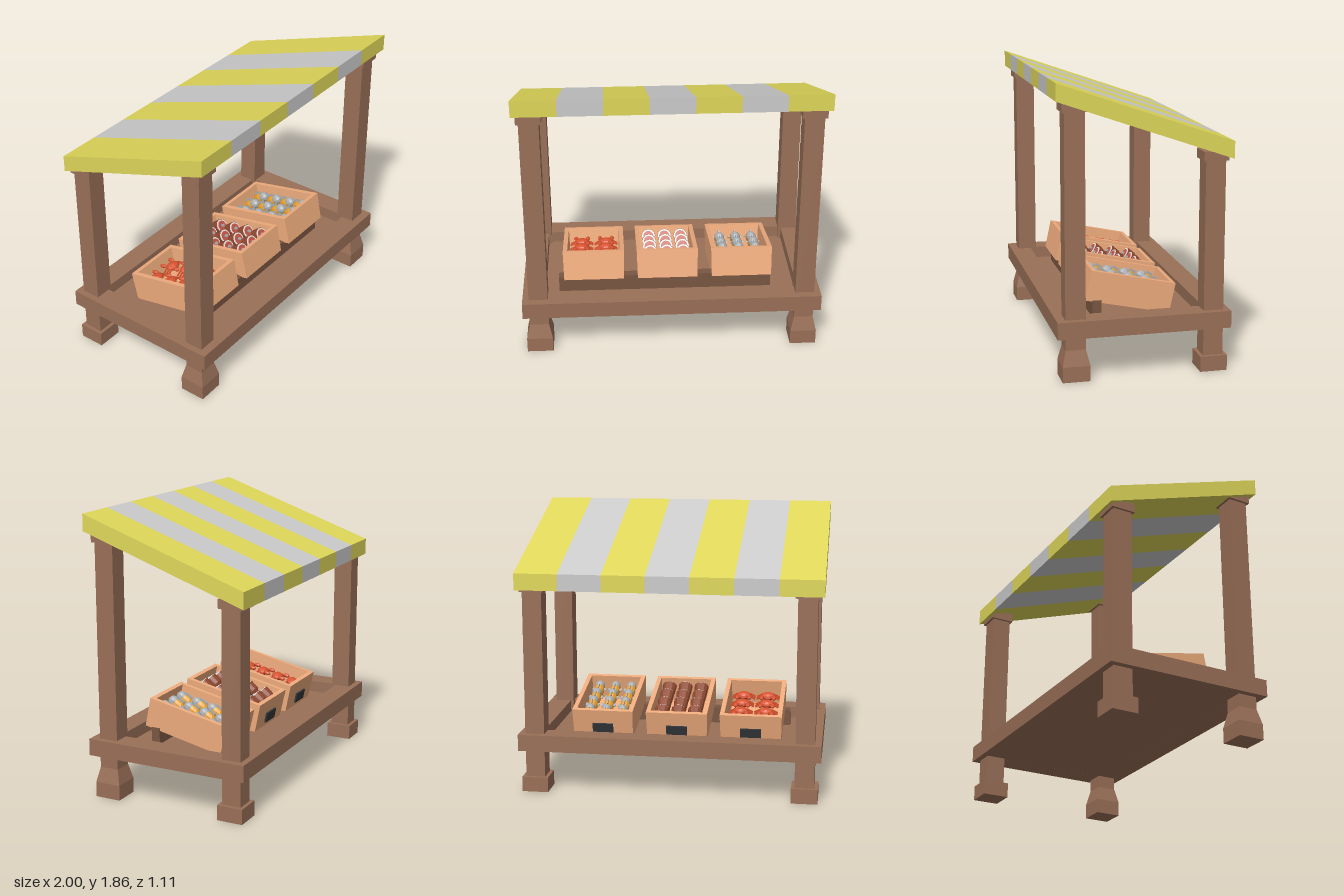
import * as THREE from 'three';

const mat = (color) => new THREE.MeshStandardMaterial({ color, flatShading: true });
const wood = mat(0x9a7058), darkWood = mat(0x7a5642), crateWood = mat(0xf0ad7e);
const yellow = mat(0xe0d85a), grey = mat(0xcccccc), slate = mat(0x33363a);
const fishGold = mat(0xe8a030), fishGrey = mat(0xa9adb0), meatBrown = mat(0x8f4a32);
const meatRed = mat(0xc0564a), fat = mat(0xeee2da), crabRed = mat(0xd9532f);

function add(parent, name, geometry, material, x = 0, y = 0, z = 0) {
  const mesh = new THREE.Mesh(geometry, material);
  mesh.name = name;
  mesh.position.set(x, y, z);
  parent.add(mesh);
  return mesh;
}

function box(parent, name, material, w, h, d, x, y, z) {
  return add(parent, name, new THREE.BoxGeometry(w, h, d), material, x, y, z);
}

function group(parent, name, x = 0, y = 0, z = 0) {
  const g = new THREE.Group();
  g.name = name;
  g.position.set(x, y, z);
  parent.add(g);
  return g;
}

// Square-section frustum standing on y = 0
function taper(bottom, top, h) {
  const g = new THREE.CylinderGeometry(top * Math.SQRT1_2, bottom * Math.SQRT1_2, h, 4);
  return g.rotateY(Math.PI / 4).translate(0, h / 2, 0);
}

// Four posts: flared feet in front, block feet at the back
function addPosts(parent) {
  for (const side of [1, -1]) {
    for (const front of [true, false]) {
      const z = front ? 0.435 : -0.45, capY = front ? 1.68 : 1.35;
      const post = group(parent, front ? 'frontPost' : 'backPost', side * 0.894, 0, z);
      box(post, 'shaft', wood, 0.128, capY, 0.128, 0, 0.02 + capY / 2, 0);
      box(post, 'foot', wood, 0.175, 0.1, 0.175, 0, 0.05, 0);
      if (front) add(post, 'footTaper', taper(0.175, 0.128, 0.1), wood, 0, 0.1, 0);
      box(post, 'cap', wood, 0.16, 0.06, 0.16, 0, capY + 0.03, 0);
    }
  }
}

// Shallow tray: raised rim around a sunken floor
function addTray(parent) {
  const tray = group(parent, 'tray');
  const shape = new THREE.Shape([[-1, -0.555], [1, -0.555], [1, 0.555], [-1, 0.555]].map((p) => new THREE.Vector2(...p)));
  shape.holes.push(new THREE.Path([[-0.85, -0.41], [-0.85, 0.41], [0.85, 0.41], [0.85, -0.41]].map((p) => new THREE.Vector2(...p))));
  const rim = new THREE.ExtrudeGeometry(shape, { depth: 0.11, bevelEnabled: false });
  add(tray, 'trayRim', rim.rotateX(-Math.PI / 2), wood, 0, 0.285, 0);
  box(tray, 'trayFloor', wood, 1.71, 0.03, 0.83, 0, 0.3002, 0);
  box(tray, 'crateRest', darkWood, 1.45, 0.115, 0.06, -0.035, 0.368, 0.24);
}

// Sloping striped canopy
function addCanopy(parent) {
  const canopy = group(parent, 'canopy');
  const w = 2 / 7;
  for (let i = 0; i < 7; i++) {
    const g = new THREE.BoxGeometry(w, 0.11, 1.11);
    const p = g.attributes.position;
    for (let k = 0; k < p.count; k++) p.setY(k, p.getY(k) + p.getZ(k) * 0.347);
    g.computeVertexNormals();
    add(canopy, 'canopyStripe', g, i % 2 ? grey : yellow, -1 + w * (i + 0.5), 1.6125, 0);
  }
}

// Fish lying along z: grey head, gold body, fins
function makeFish(parent, x, y, z) {
  const fish = group(parent, 'fish', x, y, z);
  fish.rotation.x = -0.35;
  add(fish, 'fishBody', new THREE.SphereGeometry(1, 10, 6).scale(0.036, 0.04, 0.065), fishGold);
  add(fish, 'fishHead', new THREE.SphereGeometry(1, 10, 6).scale(0.035, 0.037, 0.04), fishGrey, 0, 0.004, 0.036);
  const tail = new THREE.ConeGeometry(0.032, 0.05, 4).rotateX(Math.PI / 2).scale(0.3, 1, 1);
  add(fish, 'fishTail', tail, fishGold, 0, 0, -0.07);
  box(fish, 'fishFin', fishGrey, 0.008, 0.022, 0.045, 0, 0.042, -0.005);
  for (const s of [1, -1]) box(fish, 'sideFin', fishGrey, 0.022, 0.006, 0.025, s * 0.038, 0.005, 0);
}

// Round joint of meat with a pale front face and a bone
function makeMeat(parent, x, y, z) {
  const meat = group(parent, 'meat', x, y, z);
  meat.rotation.x = -0.4;
  const drum = (r1, r2, h) => new THREE.CylinderGeometry(r1, r2, h, 12).rotateX(Math.PI / 2);
  add(meat, 'joint', drum(0.05, 0.044, 0.06), meatBrown, 0, 0, 0);
  add(meat, 'jointEnd', drum(0.044, 0.025, 0.025), meatBrown, 0, 0, -0.0425);
  add(meat, 'fatRing', drum(0.046, 0.046, 0.008), fat, 0, 0, 0.031);
  add(meat, 'cutFace', drum(0.036, 0.036, 0.008), meatRed, 0, 0, 0.034);
  add(meat, 'bone', drum(0.011, 0.011, 0.14), fishGrey, 0, 0, -0.02);
}

// Crab with claws and legs
function makeCrab(parent, x, y, z) {
  const crab = group(parent, 'crab', x, y, z);
  add(crab, 'shell', new THREE.SphereGeometry(1, 10, 6).scale(0.052, 0.028, 0.042), crabRed);
  for (const s of [1, -1]) {
    add(crab, 'claw', new THREE.SphereGeometry(1, 8, 5).scale(0.016, 0.014, 0.027), crabRed, s * 0.042, 0.01, -0.05);
    for (let i = 0; i < 3; i++) {
      const leg = box(crab, 'leg', crabRed, 0.045, 0.008, 0.009, s * 0.06, -0.006, -0.018 + i * 0.022);
      leg.rotation.z = -s * 0.5;
    }
  }
}

// Open crate tipped toward the back, with a sign board and its goods
function addCrate(parent, name, x, makeItem, columns, rows, itemY) {
  const W = 0.42, H = 0.2, L = 0.566, t = 0.03;
  const crate = group(parent, name, x, 0.37, 0.04);
  crate.rotation.x = -0.213;
  box(crate, 'crateFloor', crateWood, W - 0.02, t, L - 0.02, 0, t / 2, 0);
  for (const s of [1, -1]) {
    const wall = box(crate, 'crateSide', crateWood, t, H, L, s * (W - t - 0.01) / 2, H / 2, 0);
    wall.rotation.z = -s * 0.025;
    box(crate, 'crateEnd', crateWood, W - t, H, t, 0, H / 2, s * (L - t) / 2);
  }
  box(crate, 'signBoard', slate, 0.14, 0.07, 0.012, 0, 0.07, -L / 2 - 0.006);
  for (let i = 0; i < columns; i++) {
    for (let j = 0; j < rows; j++) {
      const px = ((i + 0.5) / columns - 0.5) * (W - 2 * t - 0.02);
      const pz = ((j + 0.5) / rows - 0.5) * (L - 2 * t - 0.03);
      makeItem(crate, px, itemY, pz);
    }
  }
}

export function createModel() {
  const model = new THREE.Group();
  model.name = 'marketStall';
  addPosts(model);
  addTray(model);
  addCanopy(model);
  addCrate(model, 'fishCrate', 0.485, makeFish, 3, 4, 0.125);
  addCrate(model, 'meatCrate', -0.02, makeMeat, 3, 4, 0.15);
  addCrate(model, 'crabCrate', -0.52, makeCrab, 2, 4, 0.12);
  return model;
}
